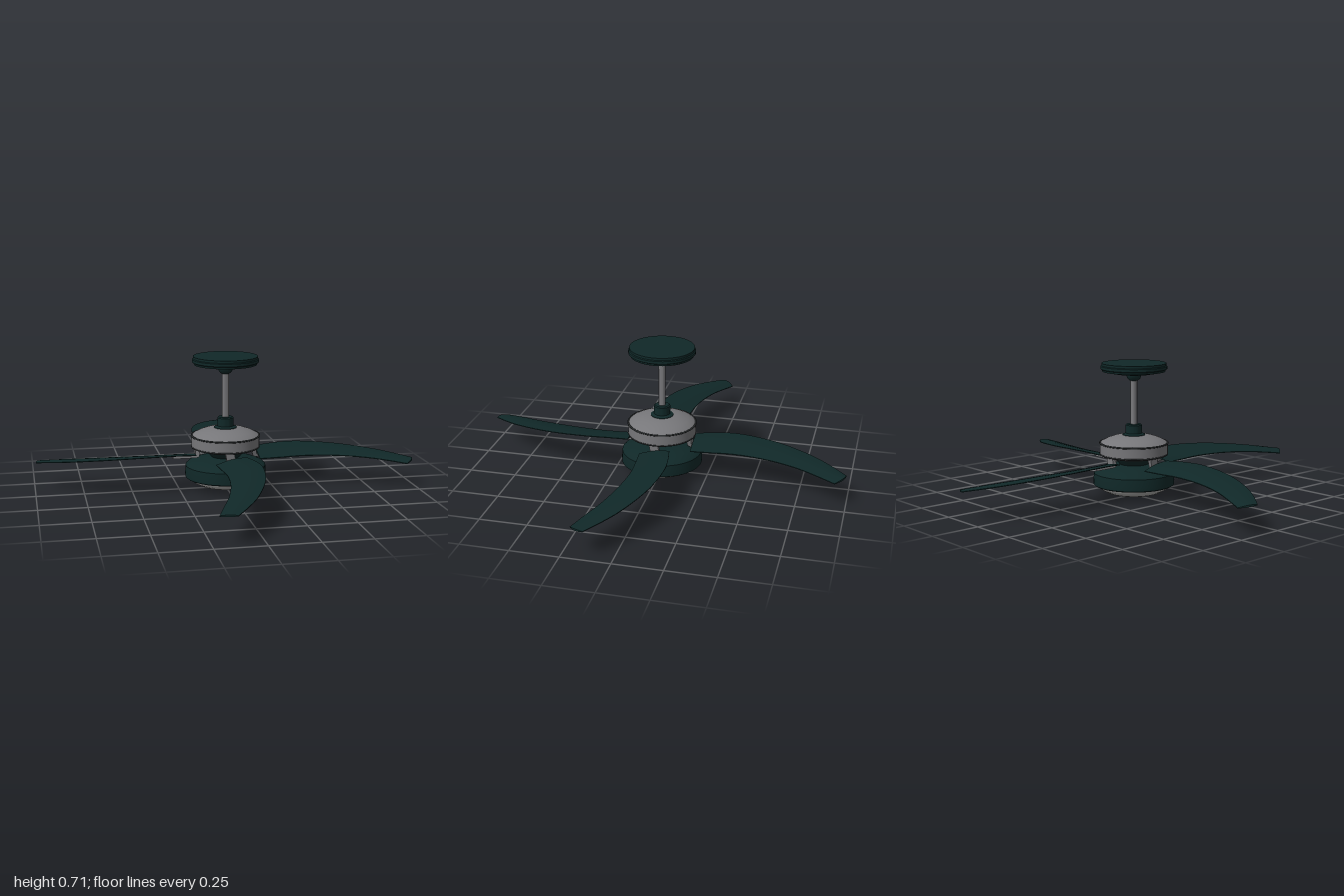
import * as THREE from 'three';
import { toCreasedNormals } from 'three/addons/utils/BufferGeometryUtils.js';

const mat = (name, color) => Object.assign(new THREE.MeshStandardMaterial({ color }), { name });

export function createModel() {
  const green = mat('dark green', 0x102828);
  const metal = mat('grey metal', 0x77777a);
  const black = mat('dark trim', 0x2a2d2e);
  const glass = mat('frosted glass', 0xa8a8a6);

  const fan = new THREE.Group();
  fan.name = 'ceilingFan';

  const add = (name, geometry, material, parent = fan) => {
    const mesh = new THREE.Mesh(geometry, material);
    mesh.name = name;
    parent.add(mesh);
    return mesh;
  };
  // Turned part: [radius, height] pairs from bottom to top
  const turned = (name, material, profile) => {
    const points = profile.map(([r, y]) => new THREE.Vector2(r, y));
    return add(name, toCreasedNormals(new THREE.LatheGeometry(points, 48), 0.55), material);
  };

  // Ceiling mount and rod
  turned('canopy', green, [[0, 0.642], [0.04, 0.645], [0.1, 0.65], [0.165, 0.662], [0.168, 0.672],
    [0.175, 0.676], [0.175, 0.69], [0.17, 0.694], [0.17, 0.706], [0, 0.706]]);
  turned('hangerBall', green, [[0, 0.612], [0.022, 0.614], [0.034, 0.625], [0.04, 0.642], [0.04, 0.655]]);
  turned('downRod', metal, [[0.018, 0.36], [0.018, 0.63]]);
  turned('rodCollar', green, [[0.06, 0.318], [0.06, 0.328], [0.043, 0.335], [0.043, 0.378], [0.037, 0.383], [0, 0.383]]);

  // Motor housing with dark trim rings
  turned('motorHousing', metal, [[0, 0.21], [0.15, 0.21], [0.168, 0.217], [0.18, 0.228], [0.18, 0.282],
    [0.168, 0.292], [0.14, 0.306], [0.105, 0.318], [0.075, 0.325], [0, 0.327]]);
  for (const [r, y] of [[0.179, 0.283], [0.177, 0.224]]) {
    const ring = add('motorTrim', new THREE.TorusGeometry(r, 0.005, 8, 48), black);
    ring.rotation.x = Math.PI / 2;
    ring.position.y = y;
  }

  // Light kit below the motor
  turned('switchHousing', green, [[0.07, 0.16], [0.08, 0.175], [0.1, 0.195], [0.11, 0.212]]);
  turned('lightBowl', green, [[0, 0.058], [0.207, 0.058], [0.214, 0.063], [0.215, 0.085], [0.212, 0.125],
    [0.2, 0.137], [0.165, 0.151], [0.12, 0.163], [0.07, 0.172], [0, 0.174]]);
  turned('lightLens', glass, [[0, 0], [0.05, 0.002], [0.1, 0.009], [0.145, 0.022], [0.175, 0.038],
    [0.19, 0.052], [0.193, 0.06]]);

  // Swept, drooping blade: a box bent between two edge curves
  const curve = (pts) => new THREE.CatmullRomCurve3(pts.map((p) => new THREE.Vector3(...p)));
  const lead = curve([[0.17, 0.197, -0.08], [0.28, 0.204, -0.1], [0.4, 0.205, -0.11], [0.61, 0.193, -0.077],
    [0.81, 0.172, 0.005], [0.91, 0.158, 0.07], [0.992, 0.145, 0.135]]);
  const trail = curve([[0.17, 0.164, 0.082], [0.28, 0.164, 0.073], [0.4, 0.166, 0.067], [0.58, 0.164, 0.088],
    [0.74, 0.155, 0.13], [0.85, 0.144, 0.175], [0.94, 0.132, 0.213]]);
  const blade = new THREE.BoxGeometry(1, 1, 1, 28, 1, 6);
  const pos = blade.attributes.position;
  for (let i = 0; i < pos.count; i++) {
    const u = pos.getX(i) + 0.5, v = pos.getZ(i) + 0.5, bulge = Math.sin(Math.PI * v);
    const p = lead.getPoint(u).lerp(trail.getPoint(u), v);
    pos.setXYZ(i, p.x + 0.014 * bulge * u ** 12,
      p.y + 0.005 * bulge + pos.getY(i) * (0.004 + 0.006 * bulge), p.z);
  }
  const bladeGeometry = toCreasedNormals(blade, 0.6);

  // Cranked bracket: drops from the motor, then runs out under the blade
  const side = new THREE.Shape();
  side.moveTo(0.142, 0.222);
  side.lineTo(0.142, 0.185);
  side.quadraticCurveTo(0.142, 0.164, 0.165, 0.164);
  side.lineTo(0.285, 0.164);
  side.lineTo(0.285, 0.176);
  side.lineTo(0.175, 0.176);
  side.quadraticCurveTo(0.164, 0.176, 0.164, 0.188);
  side.lineTo(0.164, 0.222);
  const bracketGeometry = new THREE.ExtrudeGeometry(side, { depth: 0.046, bevelEnabled: false, curveSegments: 6 });
  bracketGeometry.translate(0, -0.176, -0.023);

  for (let i = 0; i < 4; i++) {
    const arm = new THREE.Group();
    arm.name = 'bladeArm';
    arm.rotation.y = i * Math.PI / 2;
    add('blade', bladeGeometry, green, arm);
    const bracket = add('bladeBracket', bracketGeometry, metal, arm);
    bracket.position.y = 0.178;
    bracket.rotation.x = 0.2;
    fan.add(arm);
  }
  return fan;
}
